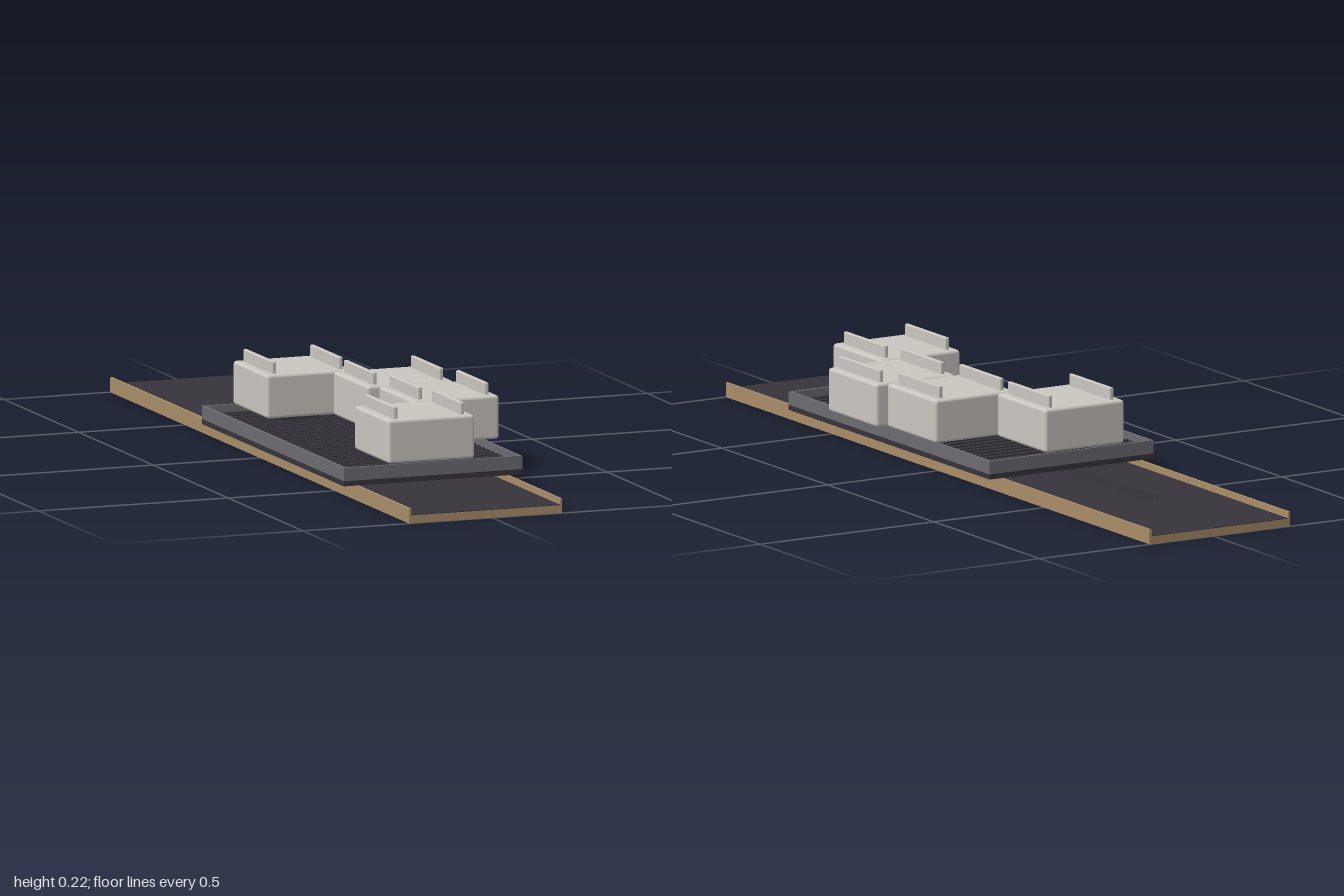
import * as THREE from 'three';
import { RoundedBoxGeometry } from 'three/addons/geometries/RoundedBoxGeometry.js';

export function createModel() {
  const root = new THREE.Group();
  const mat = (name, color) => {
    const m = new THREE.MeshStandardMaterial({ color });
    m.name = name;
    return m;
  };
  const tan = mat('tan board', 0xa88c68);
  const dark = mat('charcoal', 0x36343b);
  const grey = mat('grey rim', 0x6c6b71);
  const pale = mat('pale keycap', 0xcac6c0);

  // Box given by its min and max corners; a radius rounds its edges
  const block = (parent, name, material, [x0, y0, z0], [x1, y1, z1], radius = 0) => {
    const size = [x1 - x0, y1 - y0, z1 - z0];
    const geo = radius ? new RoundedBoxGeometry(...size, 3, radius) : new THREE.BoxGeometry(...size);
    const mesh = new THREE.Mesh(geo, material);
    mesh.name = name;
    mesh.position.set((x0 + x1) / 2, (y0 + y1) / 2, (z0 + z1) / 2);
    parent.add(mesh);
    return mesh;
  };
  const group = (name) => {
    const g = new THREE.Group();
    g.name = name;
    root.add(g);
    return g;
  };

  // Long shallow channel with a dark lining
  const channel = group('channel');
  block(channel, 'channelBase', tan, [-0.22, 0, -1], [0.184, 0.02, 1]);
  block(channel, 'channelLining', dark, [-0.213, 0.02, -1], [0.178, 0.0215, 1]);
  block(channel, 'channelWallRight', tan, [-0.22, 0.02, -1], [-0.213, 0.037, 1]);
  block(channel, 'channelWallLeft', tan, [0.178, 0.02, -1], [0.184, 0.037, 1]);

  // Thin rails lying in the channel
  for (let i = 0; i < 4; i++) {
    const x = -0.07 + i * 0.015;
    block(channel, 'rail', dark, [x - 0.004, 0.0215, -0.62], [x + 0.004, 0.0235, 0]);
  }

  // Tray resting on the channel walls
  const tray = group('tray');
  const X0 = -0.253, X1 = 0.218, Z0 = -0.3, Z1 = 0.648, T = 0.008;
  block(tray, 'trayFloor', dark, [X0, 0.037, Z0], [X1, 0.05, Z1]);
  block(tray, 'trayWallRight', grey, [X0, 0.05, Z0], [X0 + T, 0.083, Z1]);
  block(tray, 'trayWallLeft', grey, [X1 - T, 0.05, Z0], [X1, 0.083, Z1]);
  block(tray, 'trayWallBack', grey, [X0 + T, 0.05, Z0], [X1 - T, 0.083, Z0 + T]);
  block(tray, 'trayWallFront', grey, [X0 + T, 0.05, Z1 - T], [X1 - T, 0.083, Z1]);
  block(tray, 'trayBed', dark, [X0 + T, 0.05, Z0 + T], [X1 - T, 0.058, Z1 - T]);

  // Cross slats on the tray bed
  const slats = 31;
  for (let i = 0; i < slats; i++) {
    const z = Z0 + 0.024 + (i * (Z1 - Z0 - 0.048)) / (slats - 1);
    block(tray, 'slat', dark, [X0 + T, 0.058, z - 0.009], [X1 - T, 0.066, z + 0.009]);
  }

  // Pins and a thin strip hanging under the tray
  for (const x of [-0.065, -0.057, -0.022, -0.014, 0.11, 0.119, 0.134, 0.142]) {
    block(tray, 'pin', dark, [x - 0.0025, 0.025, 0.1], [x + 0.0025, 0.037, 0.106]);
  }
  block(tray, 'underStrip', dark, [-0.07, 0.0235, 0.09], [0.167, 0.0255, 0.116]);

  // Four staggered blocks, each with a pair of upright fins
  const caps = [[-0.061, -0.178], [0.112, 0.056], [0.139, 0.291], [-0.018, 0.526]];
  for (const [x, z] of caps) {
    const cap = group('cap');
    block(cap, 'capBody', pale, [x - 0.114, 0.083, z - 0.115], [x + 0.114, 0.192, z + 0.115], 0.008);
    for (const s of [-1, 1]) {
      const fx = x + s * 0.088;
      block(cap, 'fin', pale, [fx - 0.0055, 0.187, z - 0.097], [fx + 0.0055, 0.222, z + 0.097], 0.003);
    }
    // Stem joining the block to the tray bed
    block(cap, 'capStem', dark, [x - 0.05, 0.058, z - 0.05], [x + 0.05, 0.084, z + 0.05]);
  }

  return root;
}
